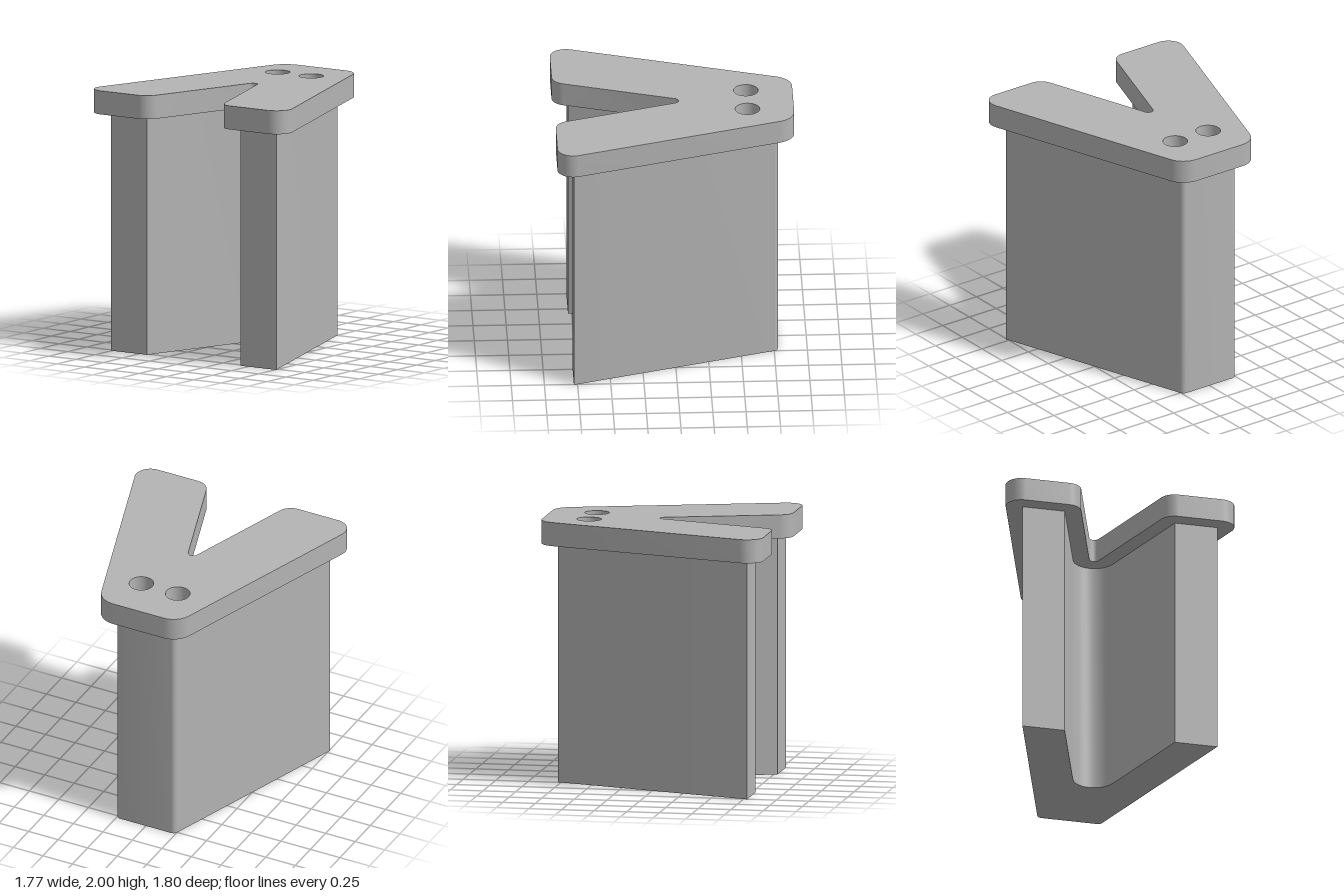
import * as THREE from 'three';
import { toCreasedNormals } from 'three/addons/utils/BufferGeometryUtils.js';

// Closed outline from corners [x, z, radius], each rounded with a tangent arc
function roundedShape(corners, steps = 14) {
  const n = corners.length;
  const points = [];
  corners.forEach(([x, z, r], i) => {
    const p = new THREE.Vector2(x, z);
    if (!r) {
      points.push(p);
      return;
    }
    const [ax, az] = corners[(i + n - 1) % n];
    const [bx, bz] = corners[(i + 1) % n];
    const a = new THREE.Vector2(ax, az).sub(p).normalize();
    const b = new THREE.Vector2(bx, bz).sub(p).normalize();
    const half = Math.acos(a.dot(b)) / 2;
    const centre = a.clone().add(b).setLength(r / Math.sin(half)).add(p);
    const start = a.multiplyScalar(r / Math.tan(half)).add(p).sub(centre);
    const end = b.multiplyScalar(r / Math.tan(half)).add(p).sub(centre);
    const turn = Math.atan2(start.cross(end), start.dot(end));
    for (let k = 0; k <= steps; k++) {
      points.push(start.clone().rotateAround(new THREE.Vector2(), (turn * k) / steps).add(centre));
    }
  });
  return new THREE.Shape(points);
}

// Forked outline: the +x half runs from the back corner to the notch, then mirrors
function forkShape(half, notch) {
  const mirrored = half.map(([x, z, r]) => [-x, z, r]).reverse();
  return roundedShape([...half, notch, ...mirrored]);
}

// Vertical prism of an x/z outline, from its top height downwards
function prism(name, shape, top, height, material) {
  const extruded = new THREE.ExtrudeGeometry(shape, { depth: height, bevelEnabled: false, curveSegments: 24 });
  extruded.rotateX(Math.PI / 2);
  const mesh = new THREE.Mesh(toCreasedNormals(extruded, 0.5), material);
  mesh.name = name;
  mesh.position.y = top;
  return mesh;
}

export function createModel() {
  const group = new THREE.Group();
  group.name = 'forkedPlug';
  const grey = new THREE.MeshStandardMaterial({ color: 0xb4b4b4 });
  grey.name = 'grey';

  const plateHeight = 0.18;
  const plateBottom = 2 - plateHeight;

  // Tall forked body with sharp front ends and a wide rounded notch
  const body = forkShape(
    [[0.243, -0.778, 0.04], [0.757, 0.778, 0], [0.428, 0.778, 0]],
    [0, -0.516, 0.162]
  );
  group.add(prism('body', body, plateBottom, plateBottom, grey));

  // Overhanging top plate with rounded corners and two round holes
  const plate = forkShape(
    [[0.334, -0.902, 0.165], [0.93, 0.902, 0.12], [0.338, 0.902, 0.12]],
    [0, -0.121, 0.038]
  );
  for (const side of [-1, 1]) {
    const hole = new THREE.Path();
    hole.absarc(side * 0.154, -0.552, 0.093, 0, Math.PI * 2, true);
    plate.holes.push(hole);
  }
  group.add(prism('topPlate', plate, 2, plateHeight, grey));

  return group;
}
